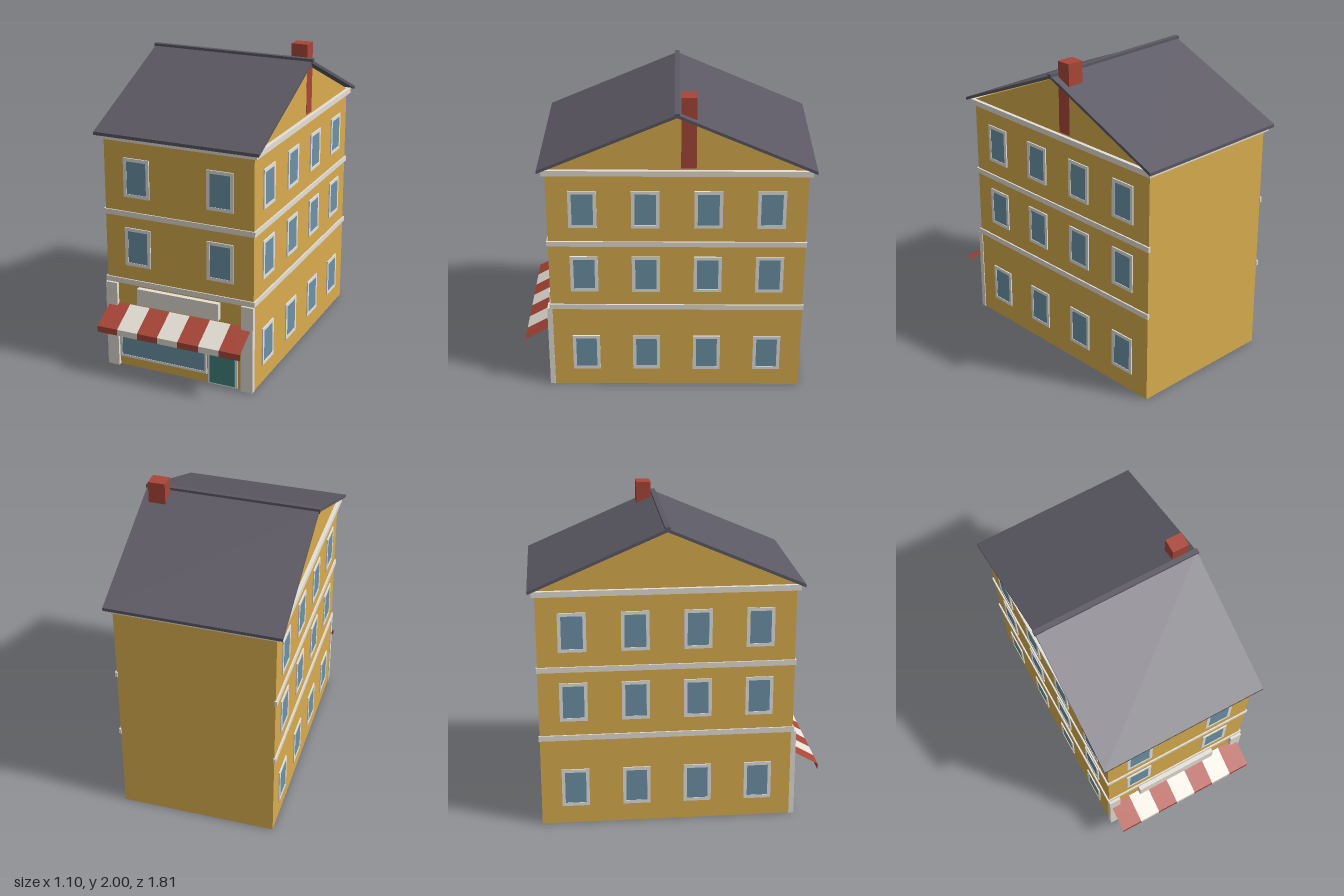
import * as THREE from 'three';

const mat = (name, color, side = THREE.FrontSide) => {
  const m = new THREE.MeshStandardMaterial({ color, side });
  m.name = name;
  return m;
};

export function createModel() {
  const model = new THREE.Group();
  model.name = 'townhouse';
  const wall = mat('ochre wall', 0xd9ad4e);
  const trim = mat('stone trim', 0xe5e0d6);
  const frame = mat('window frame white', 0xe4e4e2);
  const glass = mat('window glass', 0x6d93a7);
  const slate = mat('slate roof', 0x5b5863);
  const brick = mat('red brick', 0xaa4638);
  const teal = mat('teal door', 0x43867f);
  const redCloth = mat('red awning cloth', 0xaa4638, THREE.DoubleSide);
  const whiteCloth = mat('white awning cloth', 0xe5e0d6, THREE.DoubleSide);

  const add = (name, geometry, material, parent = model) => {
    const mesh = new THREE.Mesh(geometry, material);
    mesh.name = name;
    parent.add(mesh);
    return mesh;
  };
  // Box given by its minimum and maximum corners
  const box = (name, material, x0, x1, y0, y1, z0, z1, parent) => {
    const mesh = add(name, new THREE.BoxGeometry(x1 - x0, y1 - y0, z1 - z0), material, parent);
    mesh.position.set((x0 + x1) / 2, (y0 + y1) / 2, (z0 + z1) / 2);
    return mesh;
  };
  // Extrude a (z, y) outline across x, centred
  const acrossX = (name, material, points, halfWidth) => {
    const shape = new THREE.Shape(points.map(([z, y]) => new THREE.Vector2(-z, y)));
    const g = new THREE.ExtrudeGeometry(shape, { depth: halfWidth * 2, bevelEnabled: false });
    g.translate(0, 0, -halfWidth);
    g.rotateY(Math.PI / 2);
    return add(name, g, material);
  };

  const W = 0.497, FRONT = 0.73, BACK = -0.86, RIDGE = -0.065;

  // Walls and gables
  box('walls', wall, -W, W, 0, 1.515, BACK, FRONT);
  acrossX('gable', wall, [[0.73, 1.54], [RIDGE, 1.887], [BACK, 1.54]], W - 0.001);

  // Cornice and floor bands (the back stays plain)
  box('cornice', trim, -0.52, 0.52, 1.505, 1.54, -0.882, 0.753);
  for (const y of [0.57, 1.02]) {
    box('frontBand', trim, -0.507, 0.507, y, y + 0.034, FRONT - 0.01, 0.738);
    for (const s of [-1, 1]) {
      const band = box('sideBand', trim, -0.008, 0.008, y, y + 0.034, -0.867, 0.737);
      band.position.x = s * 0.499;
    }
  }

  // Roof slopes, ridge cap and chimney
  acrossX('frontRoofSlope', slate, [[0.775, 1.53], [0.775, 1.55], [RIDGE, 1.912], [RIDGE, 1.892]], 0.541);
  acrossX('backRoofSlope', slate, [[-0.905, 1.53], [-0.905, 1.55], [RIDGE, 1.912], [RIDGE, 1.892]], 0.541);
  box('ridgeCap', slate, -0.548, 0.548, 1.892, 1.922, RIDGE - 0.016, RIDGE + 0.016);
  box('chimney', brick, 0.39, 0.497, 1.55, 2, -0.183, -0.09);

  // Windows: a frame ring with a glass pane, built facing +z
  const makeWindow = (name, w, h, border) => {
    const group = new THREE.Group();
    group.name = name;
    const ring = new THREE.Shape([[-w, -h], [w, -h], [w, h], [-w, h]]
      .map(([x, y]) => new THREE.Vector2(x / 2, y / 2)));
    const iw = w / 2 - border, ih = h / 2 - border;
    ring.holes.push(new THREE.Path([[-iw, -ih], [-iw, ih], [iw, ih], [iw, -ih]]
      .map(([x, y]) => new THREE.Vector2(x, y))));
    add('frame', new THREE.ExtrudeGeometry(ring, { depth: 0.008, bevelEnabled: false }), frame, group);
    box('pane', glass, -iw, iw, -ih, ih, 0, 0.005, group);
    model.add(group);
    return group;
  };
  const floors = [0.245, 0.823, 1.274];
  for (const y of floors) {
    for (const s of [-1, 1]) {
      for (let i = 0; i < 4; i++) {
        const side = makeWindow('sideWindow', 0.174, 0.25, 0.021);
        side.position.set(s * W, y, 0.511 - i * 0.385);
        side.rotation.y = s * Math.PI / 2;
      }
      if (y > 0.5) makeWindow('frontWindow', 0.174, 0.25, 0.021).position.set(s * 0.278, y, FRONT);
    }
  }

  // Shopfront: pilasters, sign board, display window and door
  for (const s of [-1, 1]) {
    const pilaster = box('pilaster', trim, -0.039, 0.039, 0, 0.57, FRONT - 0.01, 0.753);
    pilaster.position.x = s * 0.463;
  }
  box('signBoard', trim, -0.278, 0.278, 0.45, 0.56, FRONT - 0.01, 0.763);
  makeWindow('displayWindow', 0.61, 0.35, 0.015).position.set(-0.118, 0.235, FRONT);
  box('doorFrame', frame, 0.195, 0.395, 0, 0.405, FRONT - 0.01, FRONT + 0.005);
  box('door', teal, 0.208, 0.378, 0.01, 0.39, FRONT, FRONT + 0.01);

  // Striped awning: sloping cloth with a hanging valance
  const awning = new THREE.Group();
  awning.name = 'awning';
  model.add(awning);
  const stripes = 7, half = 0.485, step = (2 * half) / stripes;
  const profile = [[0.43, FRONT], [0.33, 0.905], [0.29, 0.905]];
  for (let i = 0; i < stripes; i++) {
    const x0 = -half + i * step, x1 = x0 + step;
    for (let k = 0; k < 2; k++) {
      const [ya, za] = profile[k], [yb, zb] = profile[k + 1];
      const g = new THREE.BufferGeometry();
      g.setAttribute('position', new THREE.Float32BufferAttribute(
        [x0, ya, za, x0, yb, zb, x1, yb, zb, x1, ya, za], 3));
      g.setIndex([0, 1, 2, 0, 2, 3]);
      g.computeVertexNormals();
      add(k ? 'valanceStripe' : 'awningStripe', g, i % 2 ? whiteCloth : redCloth, awning);
    }
  }
  return model;
}
